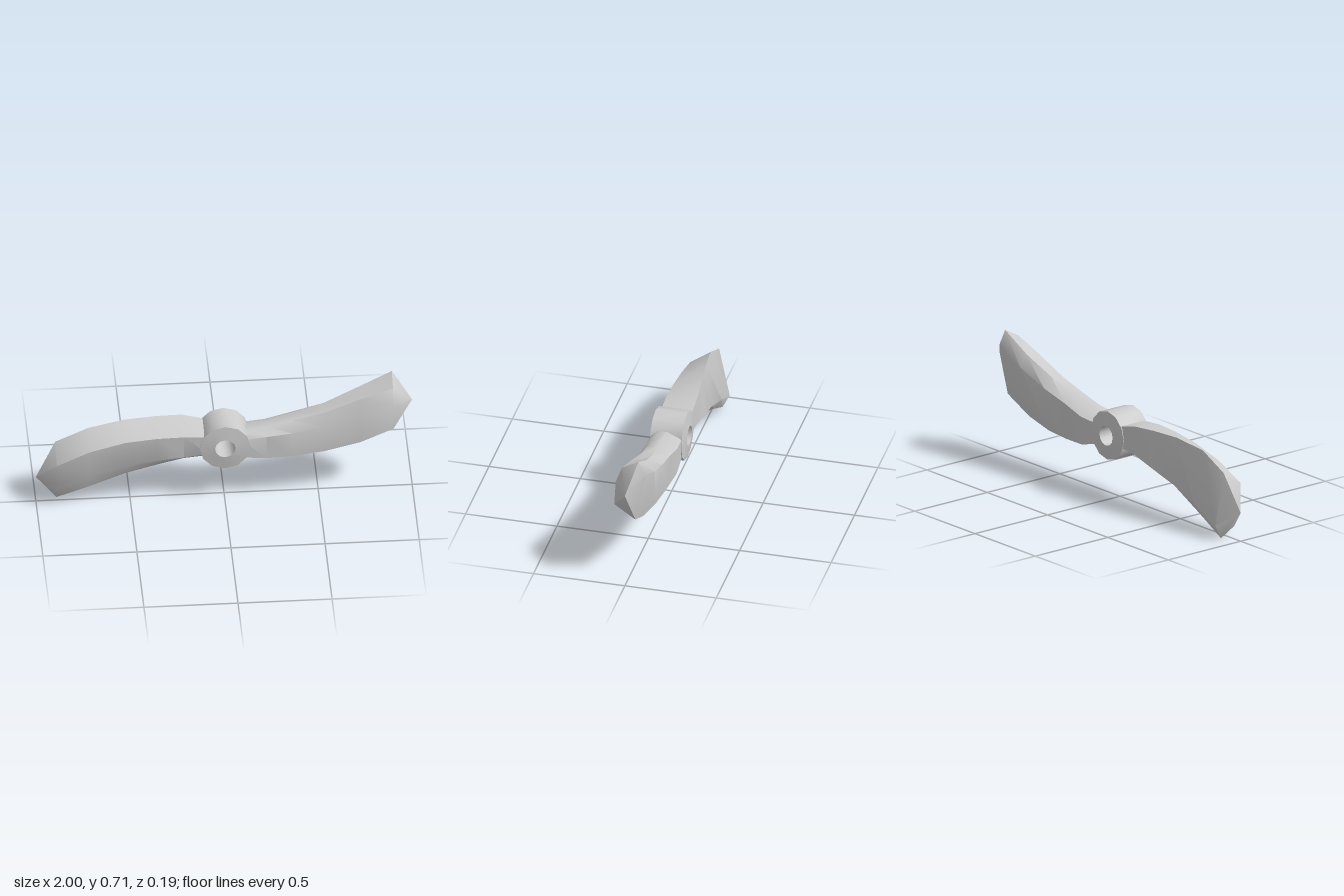
import * as THREE from 'three';
import { toCreasedNormals } from 'three/addons/utils/BufferGeometryUtils.js';

const CENTRE_Y = 0.36;
const CREASE = 0.8;

// Blade cross-sections from root to tip: x, then [y, z] of
// top edge, upper front, front bulge, front ridge, trailing edge, back bulge
const SECTIONS = [
  [0.09, [[0.43, 0], [0.43, 0.05], [0.40, 0.083], [0.29, 0.085], [0.288, -0.082], [0.40, -0.084]]],
  [0.22, [[0.457, -0.005], [0.45, 0.04], [0.415, 0.083], [0.28, 0.088], [0.255, -0.085], [0.41, -0.088]]],
  [0.36, [[0.493, -0.015], [0.485, 0.04], [0.43, 0.082], [0.285, 0.085], [0.247, -0.07], [0.45, -0.086]]],
  [0.53, [[0.54, -0.03], [0.53, 0.043], [0.46, 0.079], [0.305, 0.081], [0.247, -0.05], [0.49, -0.085]]],
  [0.72, [[0.625, -0.047], [0.605, 0.043], [0.51, 0.078], [0.355, 0.083], [0.275, -0.028], [0.56, -0.09]]],
  [0.895, [[0.717, -0.048], [0.667, 0.043], [0.575, 0.077], [0.435, 0.085], [0.357, -0.03], [0.64, -0.088]]],
];
const TIP = [1, 0.56, 0];

// Skin the sections and close them to a point at the tip
function bladeGeometry() {
  const n = SECTIONS[0][1].length;
  const positions = [];
  const index = [];
  for (const [x, ring] of SECTIONS) {
    for (const [y, z] of ring) positions.push(x, y - CENTRE_Y, z);
  }
  positions.push(TIP[0], TIP[1] - CENTRE_Y, TIP[2]);
  const last = SECTIONS.length - 1;
  const tip = SECTIONS.length * n;
  for (let j = 0; j < n; j++) {
    const k = (j + 1) % n;
    for (let i = 0; i < last; i++) {
      const a = i * n + j, b = i * n + k;
      index.push(a, b, b + n, a, b + n, a + n);
    }
    index.push(last * n + j, last * n + k, tip);
  }
  const geometry = new THREE.BufferGeometry();
  geometry.setAttribute('position', new THREE.Float32BufferAttribute(positions, 3));
  geometry.setIndex(index);
  return toCreasedNormals(geometry, CREASE);
}

// Twelve-sided ring with slightly raised faces around the bore
function hubGeometry() {
  const profile = [
    [0.055, -0.097], [0.135, -0.087], [0.135, 0.087], [0.055, 0.097], [0.055, -0.097],
  ].map(([r, h]) => new THREE.Vector2(r, h));
  const geometry = new THREE.LatheGeometry(profile, 12);
  geometry.rotateX(Math.PI / 2);
  return toCreasedNormals(geometry, CREASE);
}

export function createModel() {
  const propeller = new THREE.Group();
  propeller.name = 'propeller';
  propeller.position.y = CENTRE_Y;
  const material = new THREE.MeshStandardMaterial({ color: 0xcccccc });

  const hub = new THREE.Mesh(hubGeometry(), material);
  hub.name = 'hub';
  propeller.add(hub);

  // Two identical blades, half a turn apart
  const geometry = bladeGeometry();
  ['leftBlade', 'rightBlade'].forEach((name, i) => {
    const blade = new THREE.Mesh(geometry, material);
    blade.name = name;
    blade.rotation.z = i * Math.PI;
    propeller.add(blade);
  });

  const model = new THREE.Group();
  model.name = 'model';
  model.add(propeller);
  return model;
}
